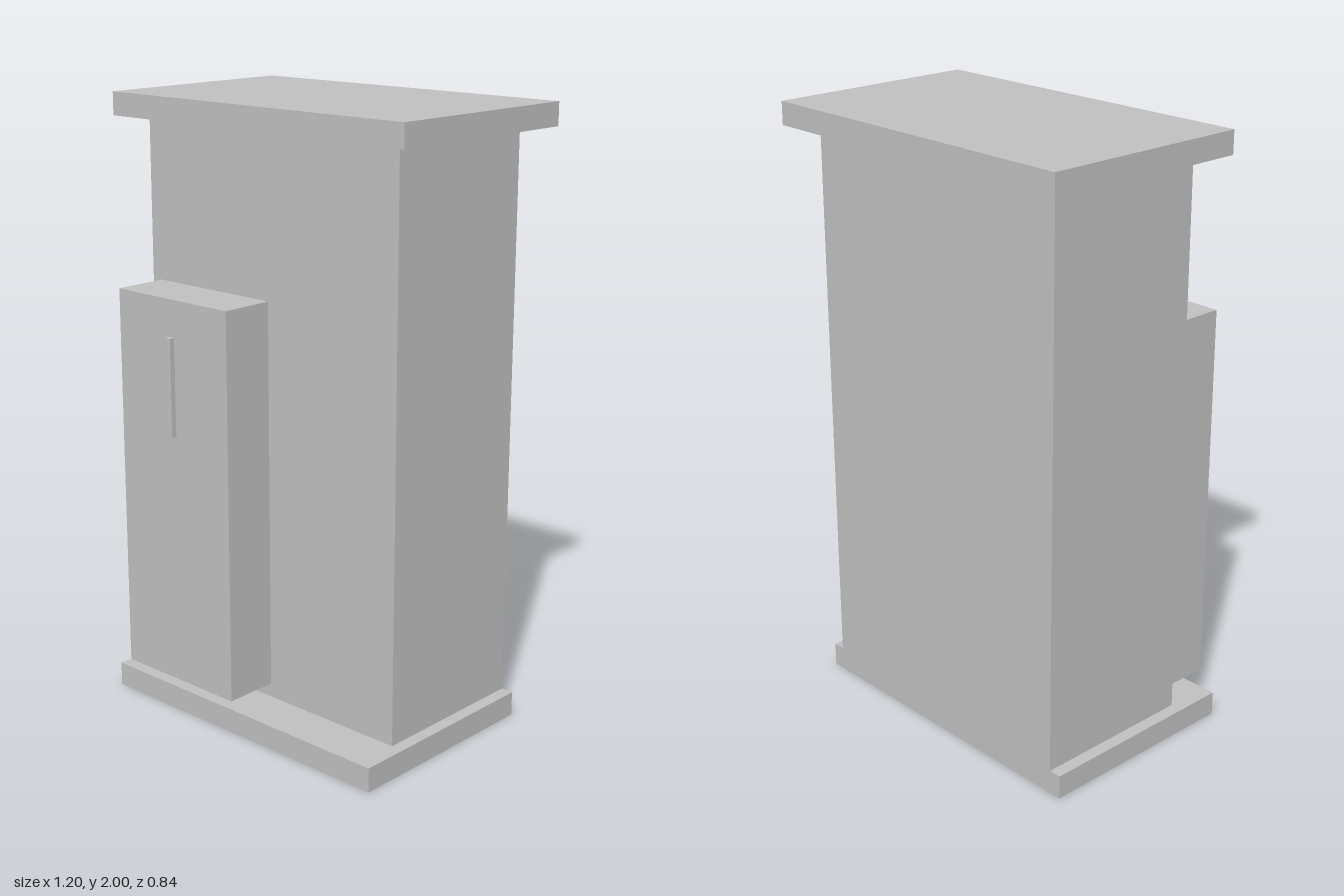
import * as THREE from 'three';

export function createModel() {
  const group = new THREE.Group();
  group.name = 'cabinet';
  const grey = new THREE.MeshStandardMaterial({ color: 0xc0c0c0 });
  grey.name = 'plain grey';

  // Box given by its extents on each axis
  const addBox = (name, [x0, x1], [y0, y1], [z0, z1]) => {
    const mesh = new THREE.Mesh(new THREE.BoxGeometry(x1 - x0, y1 - y0, z1 - z0), grey);
    mesh.position.set((x0 + x1) / 2, (y0 + y1) / 2, (z0 + z1) / 2);
    mesh.name = name;
    group.add(mesh);
  };

  // Plinth, cabinet body and overhanging top
  addBox('base', [-0.56, 0.56], [0, 0.08], [-0.338, 0.378]);
  addBox('body', [-0.518, 0.518], [0.08, 1.925], [-0.338, 0.221]);
  addBox('topSlab', [-0.6, 0.6], [1.925, 2], [-0.42, 0.3]);

  // Deep door block with a slim upright handle
  addBox('door', [-0.48, 0], [0.126, 1.4], [0.221, 0.402]);
  addBox('doorHandle', [-0.252, -0.23], [0.96, 1.28], [0.402, 0.42]);

  return group;
}
